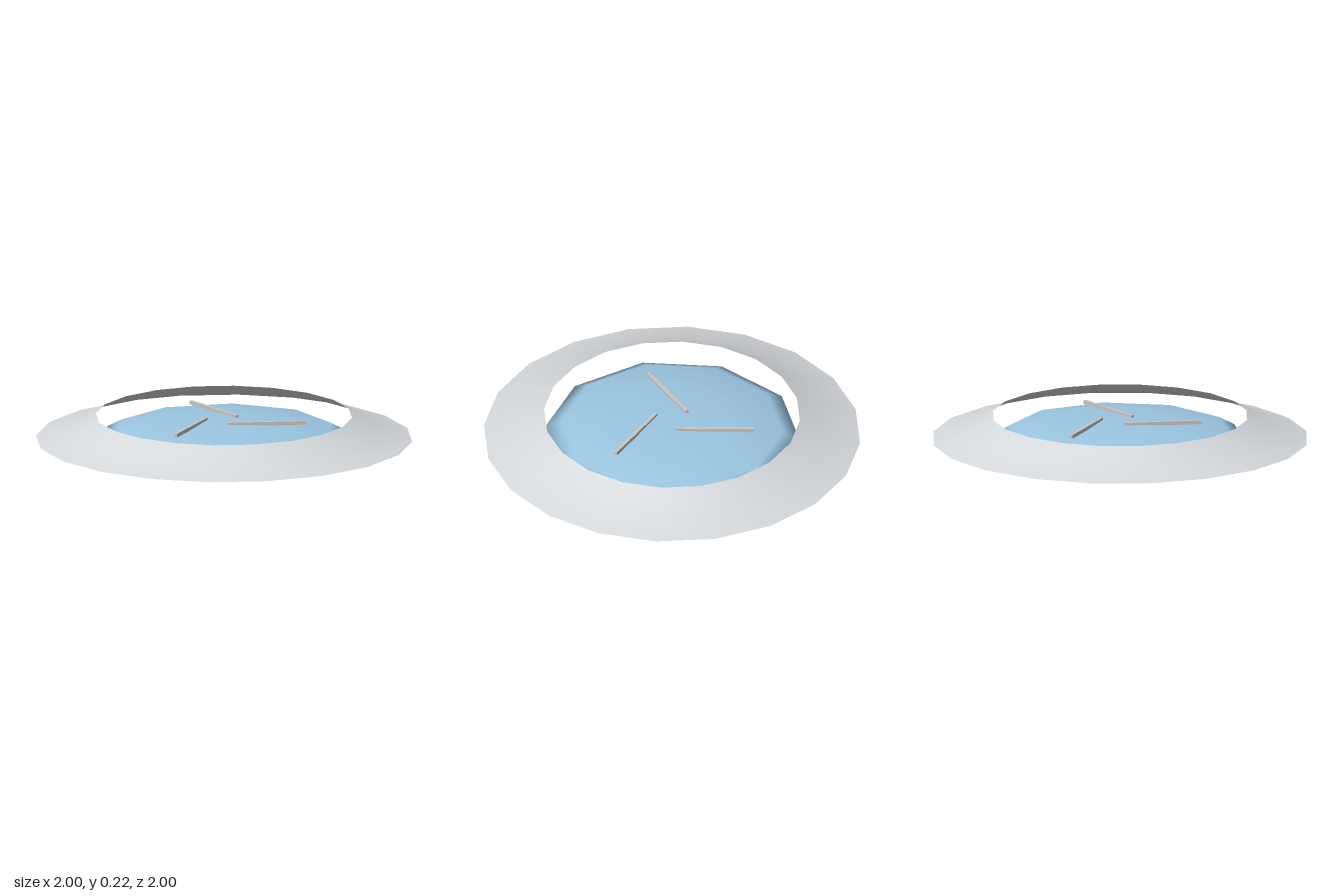
import * as THREE from 'three';

export function createModel() {
  const model = new THREE.Group();
  const rimGrey = new THREE.MeshStandardMaterial({ color: 0xd6d9dc, side: THREE.DoubleSide });
  rimGrey.name = 'rim grey';
  const paleBlue = new THREE.MeshStandardMaterial({ color: 0x9cc6e2 });
  paleBlue.name = 'pale blue';
  const barGrey = new THREE.MeshStandardMaterial({ color: 0xcac6c2 });
  barGrey.name = 'bar grey';

  function add(name, geometry, material) {
    const mesh = new THREE.Mesh(geometry, material);
    mesh.name = name;
    model.add(mesh);
    return mesh;
  }

  // Flared open rim, a single curved sheet with twenty sides
  const profile = [[1, 0.1], [0.84, 0.143], [0.68, 0.225]].map(([r, y]) => new THREE.Vector2(r, y));
  add('rim', new THREE.LatheGeometry(profile, 20), rimGrey);

  // Flattened ten-sided lens in the middle, with a corner towards front and back
  const lens = new THREE.SphereGeometry(0.68, 10, 6);
  lens.rotateY(Math.PI / 2);
  lens.scale(1, 0.1 / 0.68, 1);
  lens.translate(0, 0.1, 0);
  add('lens', lens, paleBlue);

  // Three level bars on top, each given by its two ends in x and z
  const bars = [
    [-0.4, -0.2, 0.005, -0.1],
    [0.075, 0.055, 0.365, -0.245],
    [-0.09, 0.04, 0.03, 0.435],
  ];
  for (const [x1, z1, x2, z2] of bars) {
    const length = Math.hypot(x2 - x1, z2 - z1);
    const bar = add('bar', new THREE.BoxGeometry(length, 0.02, 0.018), barGrey);
    bar.position.set((x1 + x2) / 2, 0.199, (z1 + z2) / 2);
    bar.rotation.y = -Math.atan2(z2 - z1, x2 - x1);
  }
  return model;
}
